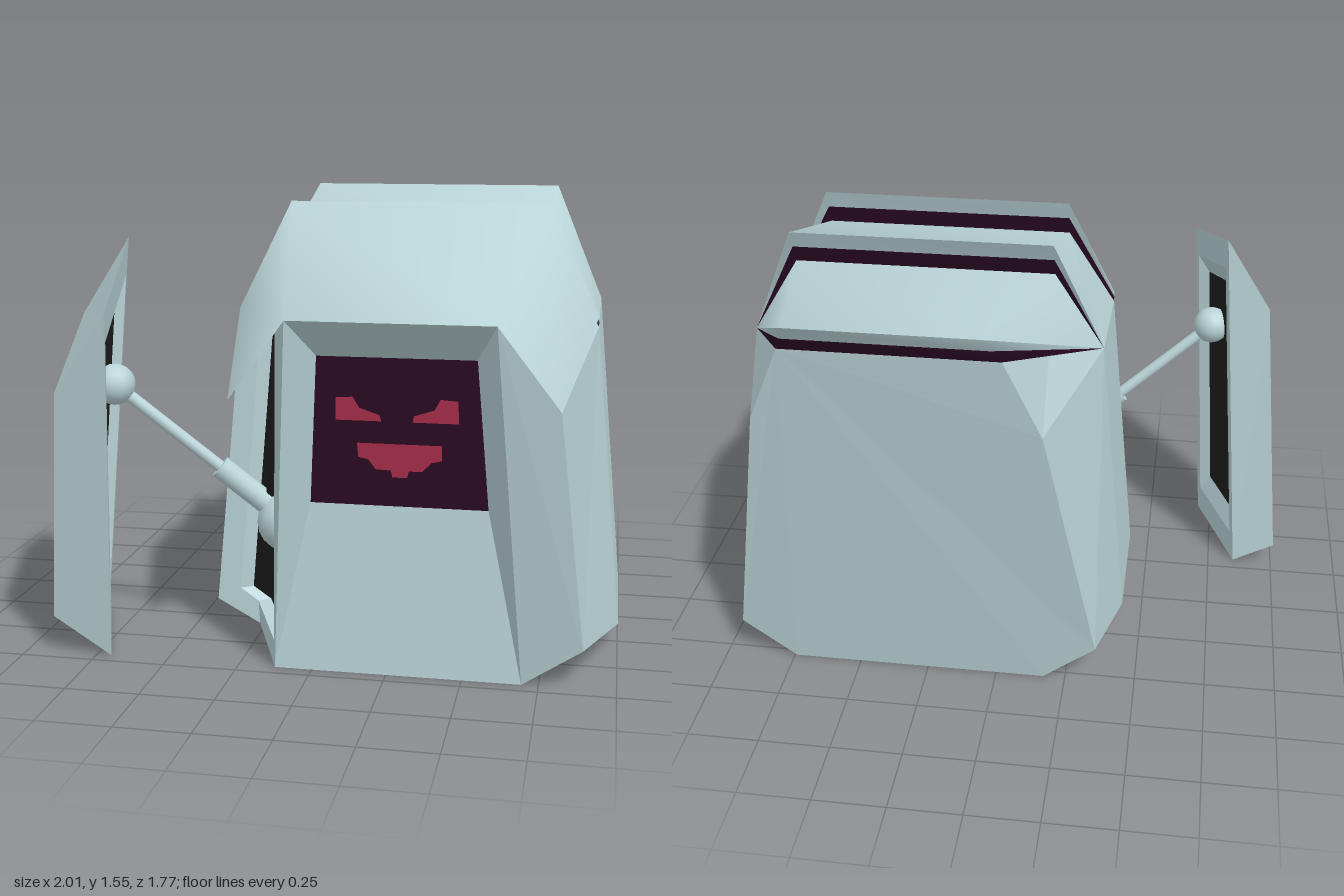
import * as THREE from 'three';

const CX = 0.285; // body centre, the open hatch balances it on the other side

export function createModel() {
  const mat = (name, color) => {
    const m = new THREE.MeshStandardMaterial({ color, side: THREE.DoubleSide });
    m.name = name;
    return m;
  };
  const shell = mat('pale blue grey shell', 0xb9d3d6);
  const screenDark = mat('dark plum', 0x2d0b24);
  const faceRed = mat('face red', 0xb0304e);
  const black = mat('hatch black', 0x1e1e1e);

  const model = new THREE.Group();
  model.name = 'hoodedPod';
  const body = new THREE.Group();
  body.name = 'body';
  body.position.x = CX;
  model.add(body);

  const addMesh = (parent, name, geometry, material) => {
    const mesh = new THREE.Mesh(geometry, material);
    mesh.name = name;
    parent.add(mesh);
    return mesh;
  };

  // Flat-shaded faces, each a fan around its first corner
  const facets = (faces) => {
    const pos = [];
    for (const f of faces)
      for (let i = 1; i < f.length - 1; i++) pos.push(...f[0], ...f[i], ...f[i + 1]);
    const g = new THREE.BufferGeometry();
    g.setAttribute('position', new THREE.Float32BufferAttribute(pos, 3));
    g.computeVertexNormals();
    return g;
  };

  // Smooth band between two lines of points
  const band = (a, b) => {
    const g = new THREE.BufferGeometry();
    g.setAttribute('position', new THREE.Float32BufferAttribute([...a, ...b].flat(), 3));
    const n = a.length, idx = [];
    for (let i = 0; i < n - 1; i++) idx.push(i, i + 1, n + i, i + 1, n + i + 1, n + i);
    g.setIndex(idx);
    g.computeVertexNormals();
    return g;
  };

  const flip = ([x, y, z]) => [-x, y, z];
  const lerp = (a, b, t) => a.map((v, i) => v + (b[i] - v) * t);
  const shift = (p, d) => p.map((v, i) => v + d[i]);
  const quadsBetween = (a, b) => a.map((p, i) => {
    const j = (i + 1) % a.length;
    return [p, a[j], b[j], b[i]];
  });

  // Half cross-sections from front to back: roof edge, shoulder, skirt, floor edge
  const rings = [
    [[0.325, 1.2, 0.89], [0.52, 0.935, 0.84], [0.605, 0.135, 0.718], [0.41, 0, 0.7]],
    [[0.445, 1.39, 0.29], [0.615, 1.12, 0.305], [0.715, 0.085, 0.305], [0.56, 0, 0.305]],
    [[0.445, 1.43, -0.19], [0.615, 1.155, -0.17], [0.715, 0.085, -0.17], [0.56, 0, -0.17]],
    [[0.35, 1.39, -0.785], [0.47, 1.11, -0.74], [0.643, 0.155, -0.55], [0.457, 0, -0.53]],
  ];
  const left = rings.map((r) => r.map(flip));
  const sideQuads = (j, mirrored) => [0, 1, 2].map((k) => {
    const a = rings[j], b = rings[j + 1];
    const q = [a[k + 1], b[k + 1], b[k], a[k]];
    return mirrored ? q.map(flip).reverse() : q;
  });

  // Main hull; the front section of the -x side is the open hatch
  const hull = [];
  for (let j = 0; j < 3; j++) {
    hull.push(...sideQuads(j, false));
    if (j > 0) hull.push(...sideQuads(j, true));
    const a = rings[j], b = rings[j + 1];
    hull.push([flip(a[0]), a[0], b[0], flip(b[0])]);
    hull.push([a[3], flip(a[3]), flip(b[3]), b[3]]);
  }
  hull.push([...rings[3], ...[...left[3]].reverse()]);
  hull.push([rings[0][0], rings[0][3], rings[0][2], rings[0][1]]);
  addMesh(body, 'hull', facets(hull), shell);

  // Front recess around the screen
  const [top, low] = [[0.255, 1.07, 0.745], [0.291, 0.57, 0.67]];
  const [ft, , , fb] = rings[0];
  const cheek = [ft, top, low, fb];
  addMesh(body, 'frontRecess', facets([
    cheek, cheek.map(flip).reverse(),
    [flip(ft), flip(top), top, ft],
    [flip(fb), fb, low, flip(low)],
  ]), shell);
  addMesh(body, 'screen', facets([[flip(low), low, top, flip(top)]]), screenDark);

  // Face on the screen, laid on the sloping plane
  const decal = (name, pts) => {
    const g = new THREE.ShapeGeometry(new THREE.Shape(pts.map((p) => new THREE.Vector2(...p))));
    const p = g.attributes.position;
    for (let i = 0; i < p.count; i++) p.setZ(i, 0.677 + (p.getY(i) - 0.57) * 0.15);
    g.computeVertexNormals();
    addMesh(body, name, g, faceRed);
  };
  const eye = [[0.195, 0.936], [0.14, 0.94], [0.12, 0.904], [0.055, 0.882], [0.05, 0.861], [0.198, 0.861]];
  decal('leftEye', eye);
  decal('rightEye', eye.map(([x, y]) => [-x, y]));
  decal('mouth', [[-0.13, 0.786], [-0.127, 0.738], [-0.095, 0.73], [-0.072, 0.698], [-0.022, 0.695],
    [-0.018, 0.672], [0.03, 0.672], [0.036, 0.695], [0.078, 0.695], [0.11, 0.727], [0.143, 0.735], [0.143, 0.786]]);

  // Overlapping roof plates, each with a rim and a dark gap behind
  const line = (a, b) => [flip(b), flip(a), a, b];
  const fin = (name, front, rear, inner) => {
    addMesh(body, name, band(front, rear), shell);
    const mid = rear.map((p, i) => lerp(p, inner[i], 0.5));
    addMesh(body, name + 'Rim', band(rear, mid), shell);
    addMesh(body, name + 'Gap', band(mid, inner), screenDark);
  };
  const ringLine = (j) => line(rings[j][0], rings[j][1]);
  fin('frontRoofPlate', ringLine(0), line([0.445, 1.52, 0.24], [0.615, 1.155, 0.31]), ringLine(1));
  fin('middleRoofPlate', ringLine(1), line([0.445, 1.555, -0.25], [0.615, 1.155, -0.17]), ringLine(2));
  fin('rearRoofPlate', ringLine(2), line([0.295, 1.51, -0.885], rings[2][1]), line(rings[3][0], rings[2][1]));

  // Hatch opening in the hull: rim, pocket walls and black floor
  const [F, M] = [left[0], left[1]];
  const opening = [F[0], F[3], M[3], M[2], M[1], M[0]];
  const lip = [[-0.365, 1.16, 0.84], [-0.42, 0.085, 0.67], [-0.565, 0.085, 0.305],
    [-0.63, 0.13, 0.305], [-0.55, 1.05, 0.305], [-0.455, 1.3, 0.305]];
  const pocket = lip.map((p) => shift(p, [0.04, 0, -0.03]));
  addMesh(body, 'hatchOpeningRim', facets([...quadsBetween(opening, lip), ...quadsBetween(lip, pocket)]), shell);
  addMesh(body, 'hatchOpeningFloor', facets([pocket]), black);

  // Hatch panel, swung out sideways
  const hatch = new THREE.Group();
  hatch.name = 'hatch';
  hatch.position.x = CX - 0.575;
  model.add(hatch);
  const inside = [F[0], M[0], M[3], F[3]];
  const centre = [0, 1, 2].map((i) => inside.reduce((s, p) => s + p[i], 0) / 4);
  const hole = inside.map((p) => lerp(p, centre, 0.17));
  const floor = inside.map((p) => shift(lerp(p, centre, 0.27), [-0.035, 0, 0]));
  addMesh(hatch, 'hatchShell', facets([
    ...sideQuads(0, true),
    [F[0], F[1], F[2], F[3]],
    [M[3], M[2], M[1], M[0]],
    ...quadsBetween(inside, hole),
    ...quadsBetween(hole, floor),
  ]), shell);
  addMesh(hatch, 'hatchInnerPanel', facets([floor]), black);

  // Telescopic arm with a ball joint at each end
  const arm = new THREE.Group();
  arm.name = 'hatchArm';
  model.add(arm);
  const from = new THREE.Vector3(-0.13, 0.44, 0.455);
  const to = new THREE.Vector3(-0.7, 0.92, 0.575);
  const rod = (name, t0, t1, r) => {
    const a = from.clone().lerp(to, t0), b = from.clone().lerp(to, t1);
    const m = addMesh(arm, name, new THREE.CylinderGeometry(r, r, a.distanceTo(b), 12), shell);
    m.position.copy(a).lerp(b, 0.5);
    m.quaternion.setFromUnitVectors(new THREE.Vector3(0, 1, 0), b.sub(a).normalize());
  };
  rod('armSleeve', 0, 0.4, 0.04);
  rod('armRod', 0.38, 1, 0.021);
  addMesh(arm, 'bodyBallJoint', new THREE.SphereGeometry(0.11, 14, 10), shell).position.copy(from);
  addMesh(arm, 'hatchBallJoint', new THREE.SphereGeometry(0.07, 14, 10), shell).position.copy(to);

  return model;
}
